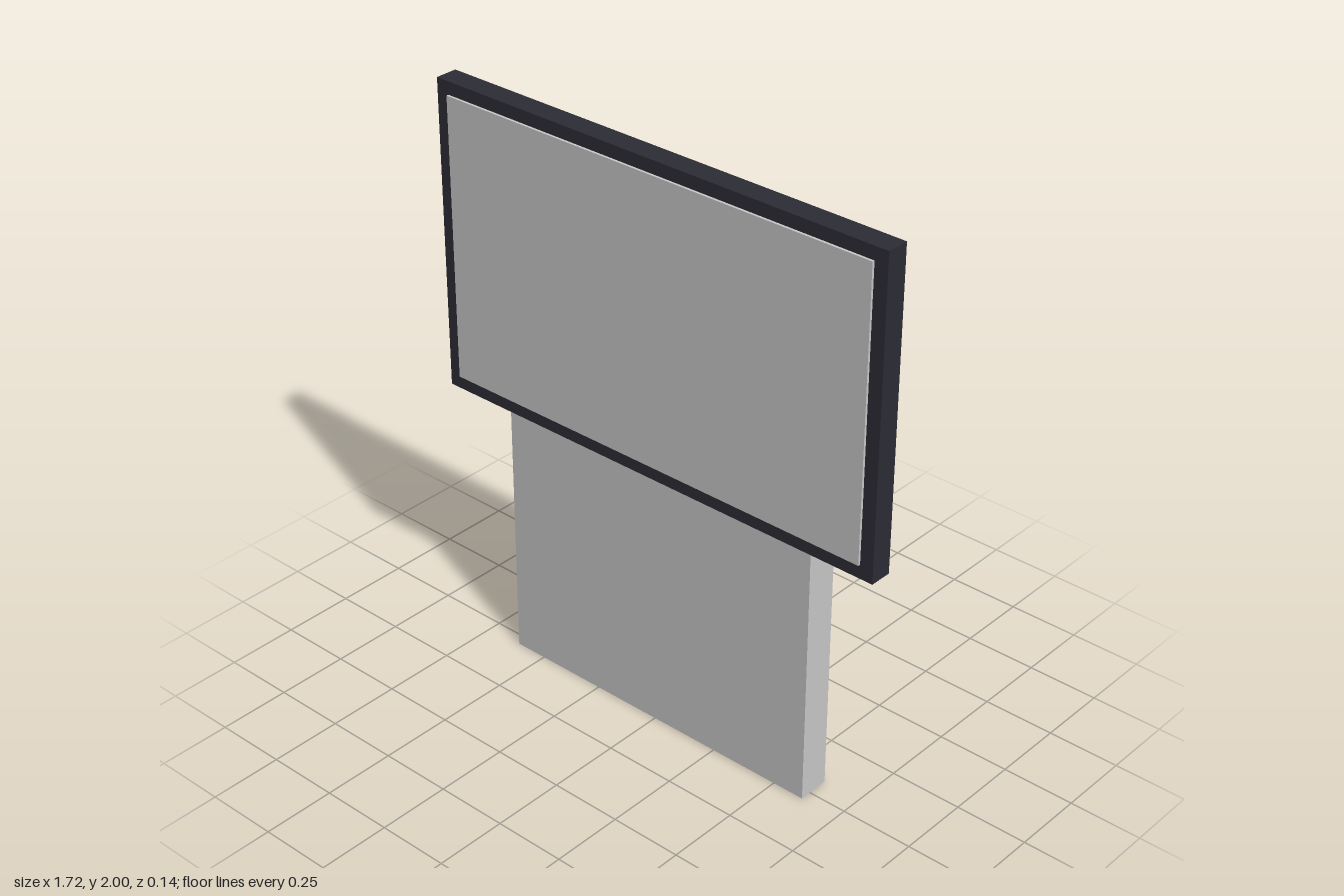
import * as THREE from 'three';

export function createModel() {
  const model = new THREE.Group();
  const dark = new THREE.MeshStandardMaterial({ color: 0x2c2d35 });
  dark.name = 'charcoal';
  const grey = new THREE.MeshStandardMaterial({ color: 0xc8c8c8 });
  grey.name = 'light grey';

  // box given by its minimum and maximum corners
  function box(name, material, [x0, y0, z0], [x1, y1, z1]) {
    const mesh = new THREE.Mesh(new THREE.BoxGeometry(x1 - x0, y1 - y0, z1 - z0), material);
    mesh.position.set((x0 + x1) / 2, (y0 + y1) / 2, (z0 + z1) / 2);
    mesh.name = name;
    model.add(mesh);
  }

  // display housing and the screen panel standing slightly proud of it
  box('displayHousing', dark, [-0.86, 0.93, -0.014], [0.86, 2, 0.063]);
  box('screenPanel', grey, [-0.813, 0.978, 0.05], [0.813, 1.956, 0.0715]);

  // pedestal cabinet
  box('pedestal', grey, [-0.615, 0.001, -0.0715], [0.615, 0.979, 0.04]);

  // posts running through the pedestal, visible at its top and bottom ends
  for (const [name, x] of [['leftPost', 0.568], ['rightPost', -0.568]]) {
    box(name, dark, [x - 0.041, 0, -0.064], [x + 0.041, 0.98, 0.033]);
  }
  return model;
}
